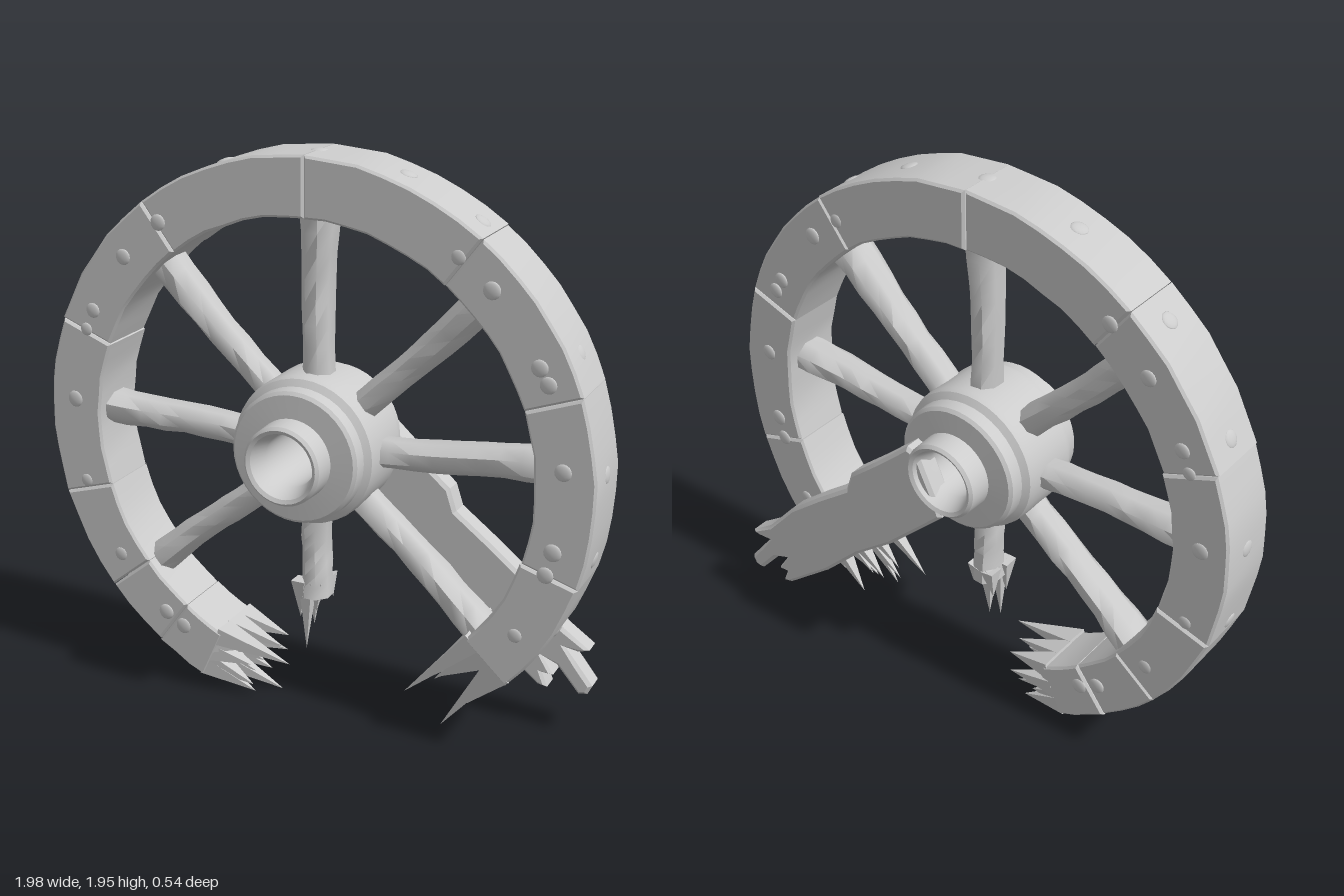
import * as THREE from 'three';
import { toCreasedNormals } from 'three/addons/utils/BufferGeometryUtils.js';

const CY = 0.963, RIN = 0.792, ROUT = 0.989, HALF = 0.115;
const RAD = Math.PI / 180;
const wood = new THREE.MeshStandardMaterial({ color: 0xcccccc });
wood.name = 'weathered grey';

// repeatable noise in -1..1
const noise = (n) => { const s = Math.sin(n * 127.1 + 11.7) * 43758.5453; return (s - Math.floor(s)) * 2 - 1; };
const polar = (r, deg, z = 0) => new THREE.Vector3(r * Math.cos(deg * RAD), CY + r * Math.sin(deg * RAD), z);

function add(parent, name, geometry, crease = 0.6) {
  const mesh = new THREE.Mesh(crease ? toCreasedNormals(geometry, crease) : geometry, wood);
  mesh.name = name;
  parent.add(mesh);
  return mesh;
}

// flat outline extruded with a small worn bevel, centred on z
function slab(points, depth, bevel) {
  const g = new THREE.ExtrudeGeometry(new THREE.Shape(points), {
    depth: depth - 2 * bevel, bevelEnabled: true, bevelThickness: bevel,
    bevelSize: bevel, bevelOffset: -bevel, bevelSegments: 1,
  });
  return g.translate(0, 0, -depth / 2 + bevel);
}

// curved rim block between two angles
function rimBlock(parent, a0, a1, seed) {
  const gap = 0.06, n = Math.max(3, Math.round((a1 - a0) / 5)), pts = [];
  const arc = (r, from, to, k) => {
    for (let i = 0; i <= n; i++) {
      const a = (from + (to - from) * i / n) * RAD;
      const rr = r + noise(seed * 31 + i + k) * 0.003;
      pts.push(new THREE.Vector2(rr * Math.cos(a), CY + rr * Math.sin(a)));
    }
  };
  arc(ROUT, a0 + gap, a1 - gap, 0);
  arc(RIN, a1 - gap, a0 + gap, 50);
  add(parent, 'rimBlock', slab(pts, 2 * HALF + noise(seed) * 0.004, 0.008), 0.6);
}

// pointed shard from a base point to a tip, w wide in the wheel plane and d deep
function splinter(parent, base, tip, w, d) {
  const dir = tip.clone().sub(base), len = dir.length();
  const g = new THREE.ConeGeometry(Math.SQRT1_2, 1, 4, 1).rotateY(Math.PI / 4);
  g.scale(w, len, d).translate(0, len / 2, 0);
  const mesh = add(parent, 'splinter', g, 0.3);
  const y = dir.normalize();
  const x = new THREE.Vector3().crossVectors(y, new THREE.Vector3(0, 0, 1)).normalize();
  const z = new THREE.Vector3().crossVectors(x, y);
  mesh.quaternion.setFromRotationMatrix(new THREE.Matrix4().makeBasis(x, y, z));
  mesh.position.copy(base);
}

// worn spoke running from r0 to r1
function spoke(parent, name, deg, r0, r1, seed, widths, depths) {
  const rows = 8, len = r1 - r0;
  const g = new THREE.CylinderGeometry(1, 1, len, 8, rows).rotateY(Math.PI / 8);
  const p = g.attributes.position;
  for (let i = 0; i < p.count; i++) {
    const t = p.getY(i) / len + 0.5, x = p.getX(i), z = p.getZ(i);
    const row = Math.round(t * rows);
    const side = Math.round(Math.atan2(z, x) / (Math.PI / 4) + 20.5) % 8;
    const w = THREE.MathUtils.lerp(widths[0], widths[1], t * t) / 2;
    const d = THREE.MathUtils.lerp(depths[0], depths[1], t * t) / 2;
    const wear = 1.08 + 0.06 * noise(seed * 17 + row * 9 + side) - 0.08 * Math.sin(Math.PI * t);
    const bend = 0.004 * Math.sin(t * 6 + seed * 2);
    p.setXYZ(i, x * w * wear + bend, p.getY(i), z * d * wear);
  }
  const mesh = add(parent, name, g, 0.9);
  mesh.position.copy(polar((r0 + r1) / 2, deg));
  mesh.rotation.z = (deg - 90) * RAD;
}

// domed nail head facing along a normal
function rivet(parent, position, normal, r) {
  const mesh = add(parent, 'rivet', new THREE.SphereGeometry(r, 12, 8).scale(1, 1, 0.3), 0);
  mesh.position.copy(position);
  mesh.quaternion.setFromUnitVectors(new THREE.Vector3(0, 0, 1), normal);
}

export function createModel() {
  const wheel = new THREE.Group();
  wheel.name = 'brokenWheel';

  // rim, open at the bottom
  const rim = new THREE.Group();
  rim.name = 'rim';
  wheel.add(rim);
  const joints = [-43, -17, 20, 53, 90, 127, 159, 197, 219, 234, 246];
  for (let i = 0; i < joints.length - 1; i++) rimBlock(rim, joints[i], joints[i + 1], i + 1);

  // shards at both broken rim ends: [radius, base angle, tip x, tip y]
  const leftEnd = [[0.815, 245, -0.07, 0.17], [0.85, 245, -0.19, 0.18], [0.89, 245, -0.17, 0.12],
    [0.93, 245, -0.22, 0.05], [0.955, 245, -0.15, 0.005]];
  const rightEnd = [[0.815, -42, 0.36, 0.17], [0.85, -42, 0.41, 0.19], [0.885, -42, 0.45, 0.23],
    [0.92, -42, 0.49, 0.07], [0.955, -42, 0.56, 0.15]];
  [leftEnd, rightEnd].forEach((end, e) => end.forEach(([r, a, x, y], i) => {
    for (let k = -1; k <= 1; k++) {
      const main = (i + k + 3) % 3 === 1;
      const base = polar(r, a, k * 0.074);
      const tip = new THREE.Vector3(x, y, k * 0.085 + noise(i * 5 + k + e) * 0.015);
      if (!main) tip.lerp(base, 0.15 + 0.25 * Math.abs(noise(i * 7 + k * 3 + e)));
      splinter(rim, base, tip, 0.066, 0.082);
    }
  }));

  // rivets on both faces and around the tread
  const rivets = new THREE.Group();
  rivets.name = 'rivets';
  wheel.add(rivets);
  const faceSpots = [[-0.53, 1.69], [-0.67, 1.56], [-0.8, 1.36], [-0.83, 1.29], [-0.89, 1.03], [-0.86, 0.73],
    [-0.73, 0.47], [-0.55, 0.28], [-0.48, 0.24], [0.52, 1.69], [0.63, 1.6], [0.79, 1.38], [0.82, 1.33],
    [0.88, 1.06], [0.86, 0.79], [0.84, 0.71], [0.75, 0.48]];
  faceSpots.forEach(([x, y], i) => {
    for (const s of [1, -1]) {
      rivet(rivets, new THREE.Vector3(x, y, s * HALF), new THREE.Vector3(0, 0, s), 0.026 + 0.004 * noise(i));
    }
  });
  for (const a of [-30, -13, 4, 27, 56, 72, 90, 110, 132, 155, 177, 195, 220]) {
    rivet(rivets, polar(ROUT - 0.004, a), polar(1, a).sub(new THREE.Vector3(0, CY, 0)), 0.03);
  }

  // hub with a flared bore, lathed around the axle
  const profile = [[0.09, -0.2], [0.112, -0.265], [0.125, -0.272], [0.135, -0.262], [0.138, -0.185], [0.215, -0.18],
    [0.226, -0.17], [0.228, -0.125], [0.25, -0.11], [0.255, -0.09]];
  const ring = [...profile, ...profile.map(([r, z]) => [r, -z]).reverse(), profile[0]];
  const hubGeo = new THREE.LatheGeometry(ring.map(([r, z]) => new THREE.Vector2(r, z)), 40).rotateX(Math.PI / 2);
  add(wheel, 'hub', hubGeo, 0.5).position.set(-0.007, CY + 0.015, 0);

  // spokes
  const spokes = new THREE.Group();
  spokes.name = 'spokes';
  wheel.add(spokes);
  [90, 45, 5, -42, 220, 178, 135].forEach((a, i) =>
    spoke(spokes, 'spoke', a, 0.2, RIN + 0.02, i + 1, [0.1, 0.118], [0.12, 0.15]));

  // snapped bottom spoke
  spoke(spokes, 'brokenSpoke', 269, 0.2, 0.54, 9, [0.1, 0.1], [0.12, 0.13]);
  const shards = [[-0.035, -0.04, -0.06, 0.37], [-0.015, 0.035, -0.03, 0.22], [-0.02, -0.03, -0.035, 0.28],
    [0.015, 0.02, 0.0, 0.36], [0.025, -0.035, 0.035, 0.4], [-0.04, 0.04, -0.05, 0.34]];
  for (const [x, z, tx, ty] of shards) {
    splinter(spokes, new THREE.Vector3(x - 0.01, 0.48, z), new THREE.Vector3(tx, ty, z * 1.1), 0.05, 0.055);
  }

  // loose plank leaning behind the wheel, with a jagged lower end
  const outline = [[-0.01, -0.13], [0.3, -0.14], [0.5, -0.125], [0.72, -0.135], [0.97, -0.12], [1.0, -0.1],
    [0.95, -0.075], [0.98, -0.05], [0.9, -0.03], [0.96, -0.01], [1.08, -0.025], [1.1, 0.0], [1.09, 0.035],
    [1.0, 0.05], [0.93, 0.06], [0.97, 0.085], [0.99, 0.12], [0.88, 0.105], [0.7, 0.125], [0.52, 0.115],
    [0.35, 0.1], [0.28, 0.14], [0.12, 0.135], [-0.06, 0.135], [-0.085, 0.09], [-0.065, 0.03], [-0.035, -0.07]];
  const plank = add(wheel, 'loosePlank', slab(outline.map(([u, v]) => new THREE.Vector2(u, v)), 0.085, 0.012), 0.4);
  plank.position.set(0.1, 0.9, -0.208);
  plank.rotation.z = -42 * RAD;

  return wheel;
}
